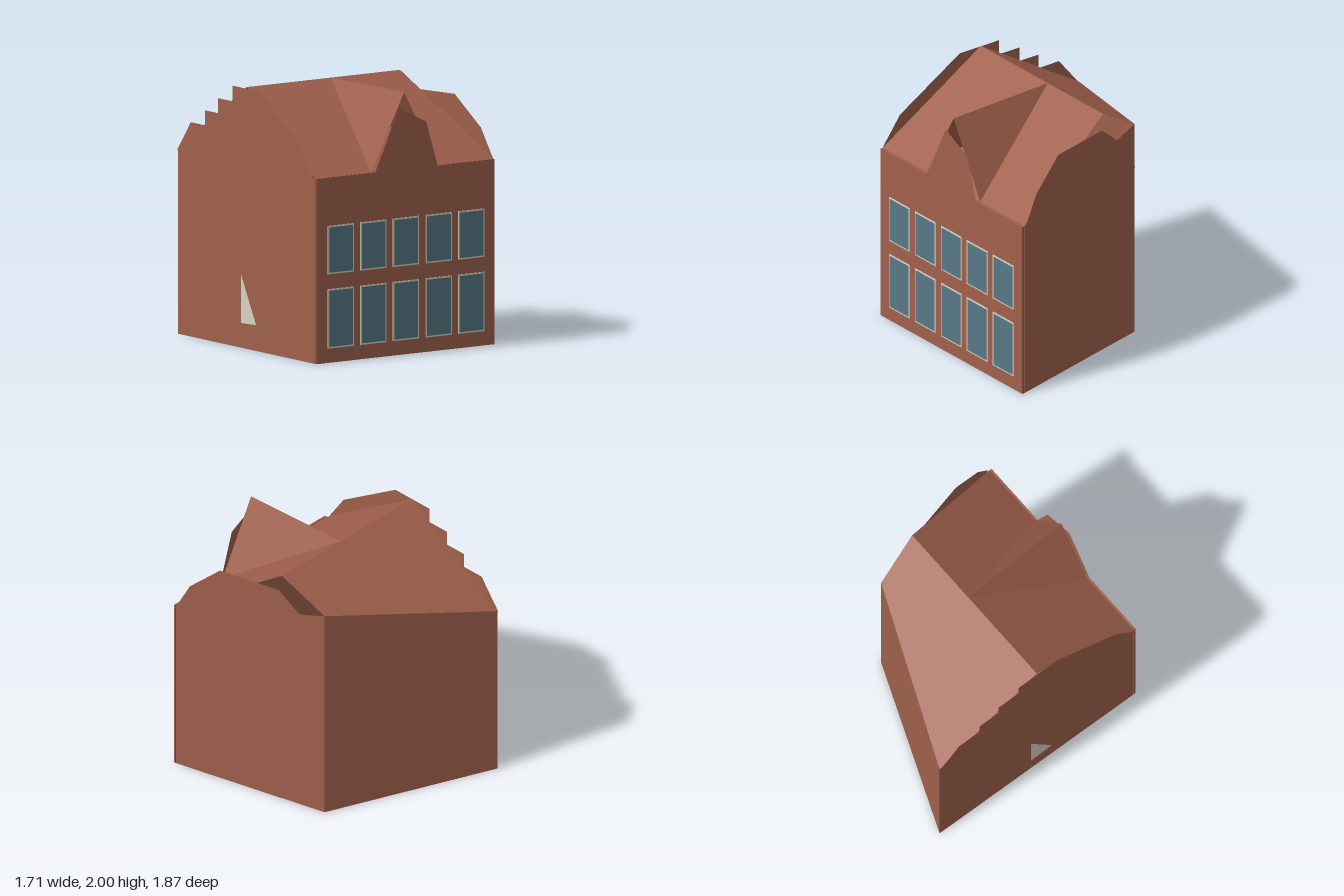
import * as THREE from 'three';

const brick = new THREE.MeshStandardMaterial({ color: 0xa0604c, side: THREE.DoubleSide });
brick.name = 'brick';
const frameMat = new THREE.MeshStandardMaterial({ color: 0xd6d3c2 });
frameMat.name = 'windowFrame';
const trim = new THREE.MeshStandardMaterial({ color: 0xd6d3c2, side: THREE.DoubleSide });
trim.name = 'sideTrim';
const glass = new THREE.MeshStandardMaterial({ color: 0x567887 });
glass.name = 'glass';

function add(group, name, geometry, material) {
  const mesh = new THREE.Mesh(geometry, material);
  mesh.name = name;
  group.add(mesh);
  return mesh;
}

// flat convex polygon from corner points
function face(...pts) {
  const tri = [];
  for (let i = 1; i < pts.length - 1; i++) tri.push(...pts[0], ...pts[i], ...pts[i + 1]);
  const g = new THREE.BufferGeometry();
  g.setAttribute('position', new THREE.Float32BufferAttribute(tri, 3));
  g.computeVertexNormals();
  return g;
}

// upright panel outlined in (z, y), standing along a slanted side wall
function sidePanel(outline, xAt) {
  const g = new THREE.ShapeGeometry(new THREE.Shape(outline.map(p => new THREE.Vector2(...p))));
  const pos = g.attributes.position;
  for (let i = 0; i < pos.count; i++) {
    const z = pos.getX(i);
    pos.setXYZ(i, xAt(z), pos.getY(i), z);
  }
  g.computeVertexNormals();
  return g;
}

export function createModel() {
  const model = new THREE.Group();
  model.name = 'house';
  const eave = 1.415, ridgeY = 2, ridgeZ = -0.02, front = 0.9;

  // footprint corners with wall heights: front left, front right, back right, back left as [x, z, height]
  const corners = [[-0.845, front, eave], [0.84, front, eave], [0.583, -0.39, 1.763], [-0.75, -0.94, eave]];
  const low = corners.map(([x, z]) => [x, 0, z]);
  const high = corners.map(([x, z, h]) => [x, h, z]);
  ['frontWall', 'rightSideWall', 'backWall', 'leftSideWall'].forEach((name, i) => {
    const j = (i + 1) % 4;
    add(model, name, face(low[i], low[j], high[j], high[i]), brick);
  });
  add(model, 'floor', face(low[3], low[2], low[1], low[0]), brick);

  // main roof slopes, open at the ends
  const ridgeA = [-0.797, ridgeY, ridgeZ], ridgeB = [0.657, ridgeY, ridgeZ];
  add(model, 'frontRoof', face(high[0], high[1], ridgeB, ridgeA), brick);
  add(model, 'backRoof', face(ridgeA, ridgeB, high[2], high[3]), brick);

  // dormer, two slopes with an open front
  for (const s of [-1, 1]) {
    const pts = [[0, ridgeY, ridgeZ], [0, ridgeY, front], [s * 0.315, eave, front]];
    if (s > 0) pts.reverse();
    add(model, 'dormerRoof', face(...pts), brick);
  }

  // gable panels on the two sides
  const rightX = z => 0.85 + (z - front) * 0.2;
  const leftX = z => -0.855 - (z - front) * 0.053;
  add(model, 'rightGable', sidePanel(
    [[0.9, 1.4], [0.77, 1.64], [0.51, 1.87], [0, 1.87], [-0.26, 1.64], [-0.39, 1.4]], rightX), brick);
  add(model, 'steppedGable', sidePanel(
    [[0.9, 1.4], [0.73, 1.64], [0.17, 1.99], [-0.2, 1.99], [-0.2, 1.87], [-0.39, 1.87], [-0.39, 1.755],
      [-0.57, 1.755], [-0.57, 1.64], [-0.76, 1.64], [-0.94, 1.41], [-0.94, 1.4]], leftX), brick);

  // facade slab and the crooked gable plate on it
  add(model, 'facade', new THREE.BoxGeometry(1.685, eave, 0.015), brick).position.set(-0.002, eave / 2, 0.913);
  add(model, 'frontGable', face(
    [-0.315, 1.365, 0.924], [0.315, 1.365, 0.924], [0.19, 1.76, 0.924], [-0.065, 1.89, 0.924]), brick);

  // two rows of five windows
  for (const [bottom, top] of [[0.11, 0.563], [0.677, 1.047]]) {
    const h = top - bottom;
    for (let i = -2; i <= 2; i++) {
      const win = new THREE.Group();
      win.name = 'window';
      win.position.set(i * 0.3085, (bottom + top) / 2, 0.922);
      add(win, 'windowFrame', new THREE.BoxGeometry(0.247, h, 0.006), frameMat);
      add(win, 'windowPane', new THREE.BoxGeometry(0.223, h - 0.024, 0.006), glass).position.z = 0.003;
      model.add(win);
    }
  }

  // small pale triangle on the left side wall
  add(model, 'sideTriangle', sidePanel([[-0.08, 0.19], [0.12, 0.2], [-0.08, 0.56]], leftX), trim);

  return model;
}
